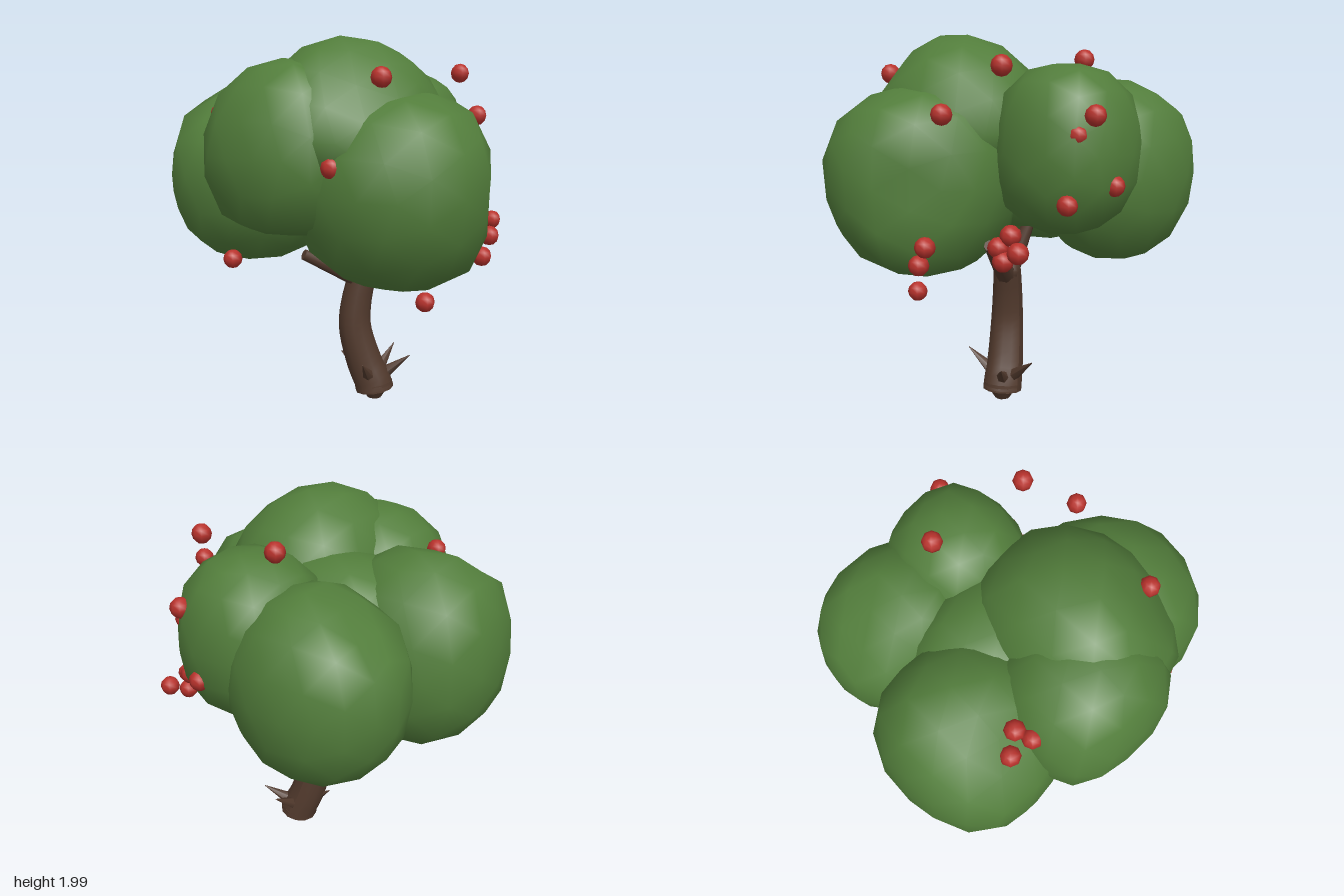
import * as THREE from 'three';
import { mergeVertices } from 'three/addons/utils/BufferGeometryUtils.js';

const V = (a) => new THREE.Vector3(...a);

export function createModel() {
  const tree = new THREE.Group();
  tree.name = 'fruitTree';
  const mat = (name, color) => {
    const m = new THREE.MeshStandardMaterial({ color });
    m.name = name;
    return m;
  };
  const leafGreen = mat('leafGreen', 0x527d3b);
  const barkBrown = mat('barkBrown', 0x523a2d);
  const fruitRed = mat('fruitRed', 0xb8322c);

  const add = (name, geometry, material) => {
    const mesh = new THREE.Mesh(geometry, material);
    mesh.name = name;
    tree.add(mesh);
    return mesh;
  };

  // Tapered limb between two points
  const limb = (name, from, to, r0, r1, sides = 8) => {
    const a = V(from), b = V(to), dir = b.clone().sub(a);
    const mesh = add(name, new THREE.CylinderGeometry(r1, r0, dir.length(), sides), barkBrown);
    mesh.position.copy(a).add(b).multiplyScalar(0.5);
    mesh.quaternion.setFromUnitVectors(new THREE.Vector3(0, 1, 0), dir.normalize());
  };

  // Curved trunk, thinning upwards
  const path = new THREE.CatmullRomCurve3([
    [0.065, 0.06, 0.135], [0.064, 0.08, 0.132], [0.04, 0.2, 0.085], [0.01, 0.42, 0.036],
    [0.02, 0.58, 0.043], [0.045, 0.74, 0.072],
  ].map(V));
  const rings = 14, sides = 12;
  const trunk = new THREE.TubeGeometry(path, rings, 1, sides);
  const pos = trunk.attributes.position;
  const p = new THREE.Vector3();
  for (let i = 0; i < pos.count; i++) {
    const t = Math.floor(i / (sides + 1)) / rings;
    const c = path.getPointAt(t);
    p.fromBufferAttribute(pos, i).sub(c).multiplyScalar(0.11 - 0.033 * t).add(c);
    pos.setXYZ(i, p.x, p.y, p.z);
  }
  trunk.computeVertexNormals();
  add('trunk', trunk, barkBrown);
  limb('trunkBase', [0.065, 0.05, 0.136], [0.063, 0.09, 0.13], 0.109, 0.108, 12);
  limb('trunkFoot', [0.065, 0.0, 0.135], [0.065, 0.055, 0.135], 0.042, 0.075, 12);
  const crotch = add('trunkCrotch', new THREE.SphereGeometry(0.077, 12, 8), barkBrown);
  crotch.position.set(0.045, 0.73, 0.072);

  // Branches fanning into the crown
  const ends = [[0.22, 0.95, 0.39], [-0.25, 0.86, -0.12], [0.12, 1.0, -0.03]];
  for (const end of ends) limb('branch', [0.04, 0.69, 0.07], end, 0.06, 0.03);

  // Pointed sprouts around the foot
  const tips = [[0.28, 0.26, 0.13], [-0.14, 0.26, 0.195], [0.2, 0.24, 0.29], [0.01, 0.25, -0.06]];
  for (const tip of tips) limb('sprout', [0.06, 0.09, 0.12], tip, 0.055, 0.002, 6);

  // Crown lumps: centre, radii, squareness across and upright, flat underside height,
  // optional cut (normal, point)
  const clumps = [
    [[-0.21, 1.25, 0.44], [0.49, 0.49, 0.51], [2.3, 2.3], 0.76, [[1, 0, 1], [0.08, 1.2, 0.72]]],
    [[-0.23, 1.5, 0.19], [0.52, 0.5, 0.44], [2.7, 2], 1.35, [[-0.5, 0.6, 0.6], [-0.41, 1.78, 0.46]]],
    [[-0.45, 1.42, -0.01], [0.4, 0.47, 0.42], [2.5, 2.3], 1.05],
    [[-0.2, 1.29, -0.49], [0.455, 0.51, 0.455], [2.4, 2.4], 0.78, [[-0.6, 0.75, 0], [-0.47, 1.61, -0.5]]],
    [[0.45, 1.42, 0.07], [0.36, 0.42, 0.34], [2.6, 2.4], 1.0],
    [[0.465, 1.28, -0.33], [0.385, 0.49, 0.47], [2.15, 2.1], 0.8, [[0, 0.83, -0.55], [0.5, 1.6, -0.6]]],
    [[0.01, 1.36, -0.14], [0.37, 0.41, 0.44], [2.3, 2.3], 0.95],
  ];
  clumps.forEach(([c, r, [across, upright], floor, cut], k) => {
    let g = new THREE.IcosahedronGeometry(1, 2);
    g.deleteAttribute('normal');
    g.deleteAttribute('uv');
    g = mergeVertices(g, 1e-3);
    const q = g.attributes.position;
    const normal = cut && V(cut[0]).normalize();
    for (let i = 0; i < q.count; i++) {
      p.fromBufferAttribute(q, i);
      // Slightly squared ball with gentle unevenness
      const flat = (Math.abs(p.x) ** across + Math.abs(p.z) ** across) ** (upright / across);
      const box = (flat + Math.abs(p.y) ** upright) ** (-1 / upright);
      const n = Math.sin(p.x * 4 + k * 2) + Math.sin(p.y * 5 + k) + Math.sin(p.z * 4.5 + k * 3);
      p.multiplyScalar(box * (1 + 0.012 * n)).multiply(V(r)).add(V(c));
      if (cut) p.addScaledVector(normal, -Math.max(0, normal.dot(p) - normal.dot(V(cut[1]))));
      q.setXYZ(i, p.x, Math.max(floor, p.y), p.z);
    }
    g.computeVertexNormals();
    add('leafClump', g, leafGreen);
  });

  // Fruit
  const fruit = new THREE.SphereGeometry(0.051, 8, 6);
  const spots = [
    [0.44, 1.86, -0.07], [0.38, 1.83, 0.47], [0.19, 1.61, 0.67], [0.75, 1.61, 0.25],
    [0.685, 1.52, 0.295], [0.78, 1.28, 0.13], [0.66, 1.2, 0.33], [0.59, 1.01, 0.59],
    [0.5, 1.07, 0.54], [0.45, 1.01, 0.57], [0.48, 0.95, 0.57], [0.17, 1.0, 0.77],
    [0.11, 0.9, 0.76], [-0.13, 0.68, 0.57], [-0.52, 0.85, -0.39], [-0.41, 1.79, 0.48],
    [-0.67, 1.39, 0.39], [-0.47, 1.62, -0.5], [-0.42, 1.72, -0.42], [-0.49, 1.65, -0.38],
  ];
  for (const s of spots) add('fruit', fruit, fruitRed).position.set(...s);

  return tree;
}
